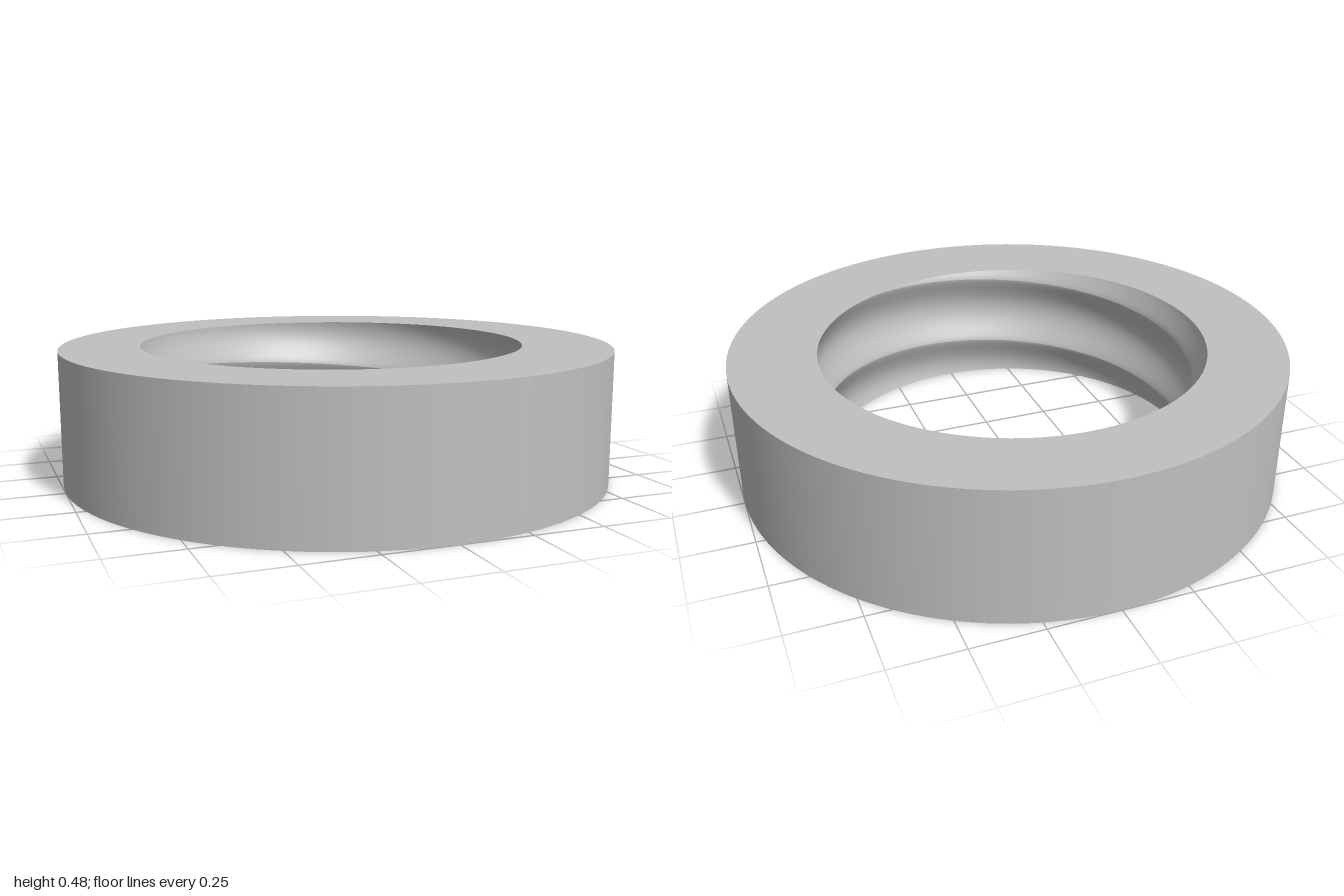
import * as THREE from 'three';

const HEIGHT = 0.48, OUTER = 1, CREST = 0.67, DEPTH = 0.048, PITCH = 0.28;
const SEGMENTS = 144, ROWS = 16, TAU = Math.PI * 2;

// Height of the thread crest that leaves the top face near 59 degrees
const crestHeight = (a) => HEIGHT - PITCH * (a / TAU - 59 / 360);

// Groove profile: t runs 0..1 from one sharp crest to the next
const grooveRadius = (t) => CREST + DEPTH * Math.pow(Math.max(0, Math.sin(Math.PI * t)), 1.2);

// Bore radius where the thread is cut by a flat face
function boreRadius(a, y) {
  const t = (y - crestHeight(a)) / PITCH;
  return grooveRadius(t - Math.floor(t));
}

// Grid of quads around the axis; point(a, v) gives { p, n }
function sheet(rows, point, flip = false) {
  const pos = [], nor = [], index = [];
  for (let i = 0; i <= SEGMENTS; i++) {
    for (let j = 0; j <= rows; j++) {
      const { p, n } = point((i / SEGMENTS) * TAU, j / rows);
      pos.push(...p);
      nor.push(...new THREE.Vector3(...n).normalize().toArray());
    }
  }
  const at = (k) => new THREE.Vector3().fromArray(pos, k * 3);
  const tri = (a, b, c) => {
    if (new THREE.Triangle(at(a), at(b), at(c)).getArea() < 1e-9) return;
    index.push(a, flip ? c : b, flip ? b : c);
  };
  for (let i = 0; i < SEGMENTS; i++) {
    for (let j = 0; j < rows; j++) {
      const a = i * (rows + 1) + j, b = a + rows + 1;
      tri(a, b, b + 1);
      tri(a, b + 1, a + 1);
    }
  }
  const g = new THREE.BufferGeometry();
  g.setAttribute('position', new THREE.Float32BufferAttribute(pos, 3));
  g.setAttribute('normal', new THREE.Float32BufferAttribute(nor, 3));
  g.setIndex(index);
  return g;
}

// One turn of the rounded helical groove, trimmed by the end faces
function grooveTurn(turn) {
  return sheet(ROWS, (a, v) => {
    const bottom = crestHeight(a) + (turn - 1) * PITCH;
    const y = THREE.MathUtils.clamp(bottom + v * PITCH, 0, HEIGHT);
    const t = THREE.MathUtils.clamp((y - bottom) / PITCH, 0, 1);
    const r = grooveRadius(t), e = 0.005;
    const t0 = Math.max(0, t - e), t1 = Math.min(1, t + e);
    const slope = (grooveRadius(t1) - grooveRadius(t0)) / ((t1 - t0) * PITCH);
    const c = Math.cos(a), s = Math.sin(a);
    return { p: [r * c, y, r * s], n: [-c, slope, -s] };
  });
}

// Flat annular end face whose inner edge follows the thread
function endFace(y, up) {
  return sheet(1, (a, v) => {
    const r = v ? OUTER : boreRadius(a, y);
    return { p: [r * Math.cos(a), y, r * Math.sin(a)], n: [0, up ? 1 : -1, 0] };
  }, !up);
}

export function createModel() {
  const group = new THREE.Group();
  group.name = 'threadedRing';
  const metal = new THREE.MeshStandardMaterial({ color: 0xc0c0c0 });
  metal.name = 'light grey metal';

  const add = (name, geometry) => {
    const mesh = new THREE.Mesh(geometry, metal);
    mesh.name = name;
    group.add(mesh);
    return mesh;
  };

  // Outer wall
  const wall = new THREE.CylinderGeometry(OUTER, OUTER, HEIGHT, SEGMENTS, 1, true);
  add('outerWall', wall).position.y = HEIGHT / 2;

  // End faces
  add('topFace', endFace(HEIGHT, true));
  add('bottomFace', endFace(0, false));

  // Internal thread
  for (const turn of [1, 0, -1]) add(`threadGroove${2 - turn}`, grooveTurn(turn));

  return group;
}
